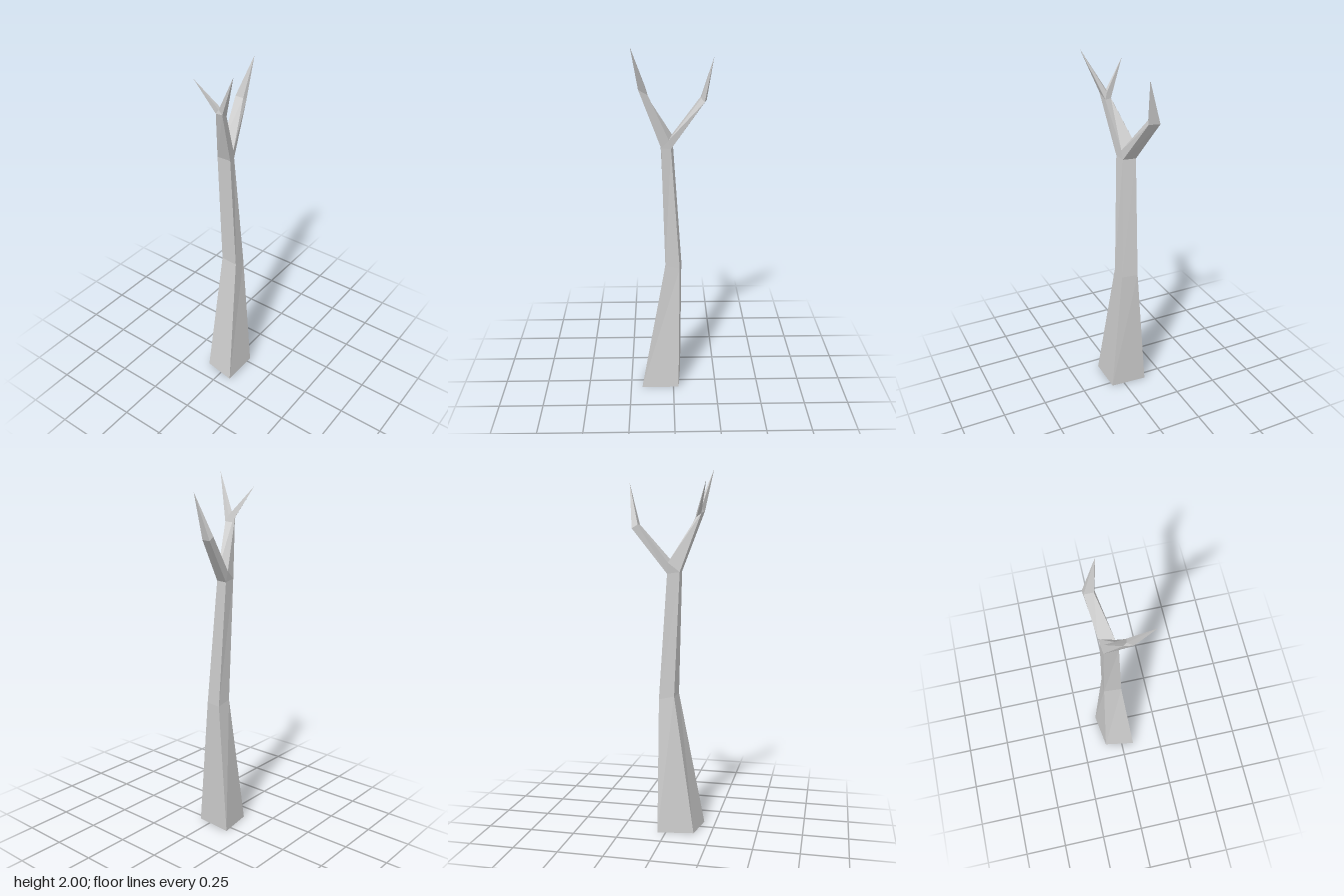
import * as THREE from 'three';

const material = new THREE.MeshStandardMaterial({ color: 0xcccccc, flatShading: true });

// Faces (triangles or quads of points) to a flat shaded mesh
function meshFromFaces(name, faces) {
  const pos = [];
  for (const [a, b, c, d] of faces) {
    pos.push(...a, ...b, ...c);
    if (d) pos.push(...a, ...c, ...d);
  }
  const geo = new THREE.BufferGeometry();
  geo.setAttribute('position', new THREE.Float32BufferAttribute(pos, 3));
  geo.computeVertexNormals();
  const mesh = new THREE.Mesh(geo, material);
  mesh.name = name;
  return mesh;
}

// Side walls between successive four-cornered rings, ending in an optional tip
function limb(rings, tip) {
  const faces = [];
  const n = rings[0].length;
  for (let i = 0; i < n; i++) {
    const j = (i + 1) % n;
    for (let k = 0; k < rings.length - 1; k++) {
      faces.push([rings[k][i], rings[k][j], rings[k + 1][j], rings[k + 1][i]]);
    }
    const last = rings[rings.length - 1];
    if (tip) faces.push([last[i], last[j], tip]);
  }
  return faces;
}

export function createModel() {
  const tree = new THREE.Group();
  tree.name = 'bareTree';

  // Trunk rings, in the order front right, front left, back left, back right
  const base = [[-0.185, 0, 0.075], [0.03, 0, 0.075], [0.045, 0, -0.135], [-0.155, 0, -0.105]];
  const middle = [[-0.045, 0.77, 0.02], [0.036, 0.75, 0.014], [0.048, 0.75, -0.078], [-0.038, 0.77, -0.08]];
  const top = [[-0.065, 1.45, 0], [-0.012, 1.44, -0.014], [0, 1.44, -0.085], [-0.068, 1.45, -0.08]];
  const [frontR, frontL, backL, backR] = top;

  // The crotch between the two main branches
  const crotchFront = [-0.024, 1.49, -0.01];
  const crotchBack = [-0.006, 1.5, -0.093];
  tree.add(meshFromFaces('trunk', [
    [...base].reverse(),
    ...limb([base, middle, top]),
    [frontR, frontL, crotchFront],
    [backL, backR, crotchBack],
  ]));

  // Bent branch on the +x side
  const elbow = [[0.15, 1.7, -0.075], [0.168, 1.68, -0.068], [0.182, 1.68, -0.128], [0.15, 1.7, -0.125]];
  tree.add(meshFromFaces('leftBranch',
    limb([[crotchFront, frontL, backL, crotchBack], elbow], [0.212, 1.92, -0.05])));

  // Branch on the -x side, forking into two pointed twigs
  const fork = [[-0.181, 1.77, 0.042], [-0.132, 1.74, 0.03], [-0.145, 1.74, -0.008], [-0.17, 1.76, -0.006]];
  const [forkFR, forkFL, forkBL, forkBR] = fork;
  const splitOuter = [-0.167, 1.785, 0.01];
  const splitInner = [-0.143, 1.775, 0.016];
  tree.add(meshFromFaces('rightBranch', [
    ...limb([[frontR, crotchFront, crotchBack, backR], fork]),
    [forkFL, forkBL, splitInner],
    [forkBR, forkFR, splitOuter],
  ]));
  tree.add(meshFromFaces('frontTwig',
    limb([[forkFR, forkFL, splitInner, splitOuter]], [-0.215, 2, 0.134])));
  tree.add(meshFromFaces('backTwig',
    limb([[splitOuter, splitInner, forkBL, forkBR]], [-0.212, 1.93, -0.103])));

  return tree;
}
